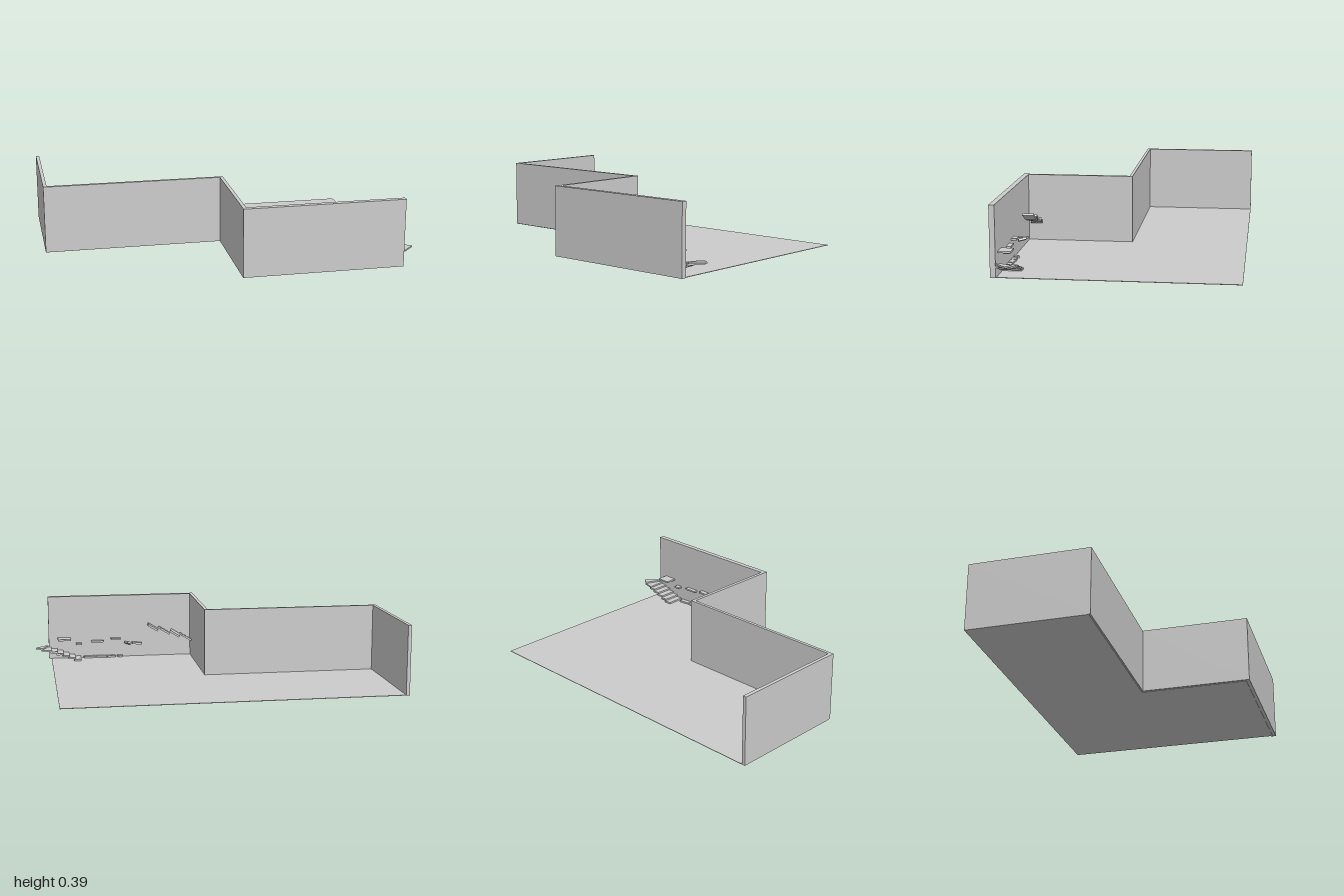
import * as THREE from 'three';

const H = 0.39, FLOOR = 0.003;
const material = new THREE.MeshStandardMaterial({ color: 0xcccccc, flatShading: true, side: THREE.DoubleSide });

// Horizontal slab from an outline of [x, z] points, its base at height y
function slab(name, outline, y, thickness) {
  const shape = new THREE.Shape(outline.map(([x, z]) => new THREE.Vector2(x, -z)));
  const geometry = new THREE.ExtrudeGeometry(shape, { depth: thickness, bevelEnabled: false });
  geometry.rotateX(-Math.PI / 2);
  const mesh = new THREE.Mesh(geometry, material);
  mesh.name = name;
  mesh.position.y = y;
  return mesh;
}

function block(name, size, position, rotation = [0, 0, 0]) {
  const mesh = new THREE.Mesh(new THREE.BoxGeometry(...size), material);
  mesh.name = name;
  mesh.position.set(...position);
  mesh.rotation.set(...rotation);
  return mesh;
}

export function createModel() {
  const model = new THREE.Group();
  model.name = 'ruinedRoom';

  // L-shaped floor
  model.add(slab('floor', [[-1, -0.655], [0.9, -0.655], [0.9, 0.63], [0.02, 0.63], [0.02, 0.02], [-1, 0.02]], 0, FLOOR));

  // Continuous stepped wall, open along the back and right
  const walls = [[-1, -0.655], [-0.98, -0.655], [-0.98, 0.01], [0.03, 0.01], [0.03, 0.62],
    [0.915, 0.62], [0.915, 0.65], [0.01, 0.65], [0.01, 0.028], [-1, 0.028]];
  model.add(slab('walls', walls, FLOOR, H - FLOOR));

  // Straight treads climbing towards the open end
  const stairs = new THREE.Group();
  stairs.name = 'stairs';
  for (let i = 0; i < 5; i++) {
    stairs.add(block('tread', [0.045, 0.01, 0.106], [0.742 + i * 0.036, 0.009 + i * 0.013, 0.567]));
  }
  // Fanned treads at the top
  stairs.add(slab('fanTread', [[0.9, 0.514], [0.965, 0.53], [0.922, 0.619], [0.9, 0.619]], 0.066, 0.009));
  stairs.add(slab('fanTread', [[0.955, 0.525], [0.997, 0.553], [0.932, 0.619], [0.918, 0.619]], 0.077, 0.009));
  model.add(stairs);

  // Shelf slabs along the front wall: x, y, z, width, depth
  const shelves = [
    [0.82, 0.128, 0.585, 0.08, 0.07], [0.73, 0.095, 0.6, 0.035, 0.03],
    [0.615, 0.105, 0.607, 0.08, 0.025], [0.5, 0.118, 0.605, 0.06, 0.03],
  ];
  for (const [x, y, z, w, d] of shelves) model.add(block('shelf', [w, 0.01, d], [x, y, z]));

  // Low pieces lying on the floor beside the stairs
  const pieces = [[0.665, 0.07, 0.1], [0.59, 0.065, -0.06], [0.53, 0.05, 0.1], [0.475, 0.03, 0.4]];
  for (const [x, w, turn] of pieces) {
    model.add(block('floorPiece', [w, 0.01, 0.028], [x, FLOOR + 0.006, 0.603], [0, turn, 0]));
  }
  model.add(block('loosePiece', [0.06, 0.012, 0.05], [0.37, 0.09, 0.587], [0.1, 0, 0.1]));
  model.add(block('loosePiece', [0.03, 0.012, 0.045], [0.425, 0.095, 0.58], [0.2, 0.4, 0.3]));

  // Tilted slabs rising by the inner corner
  const rise = [[0.065, 0.125, 0.12], [0.13, 0.15, -0.2], [0.2, 0.17, 0.1], [0.27, 0.192, -0.05]];
  for (const [x, y, turn] of rise) {
    model.add(block('tiltedSlab', [0.07, 0.012, 0.066], [x, y, 0.57], [0, turn, 0.55]));
  }
  return model;
}
